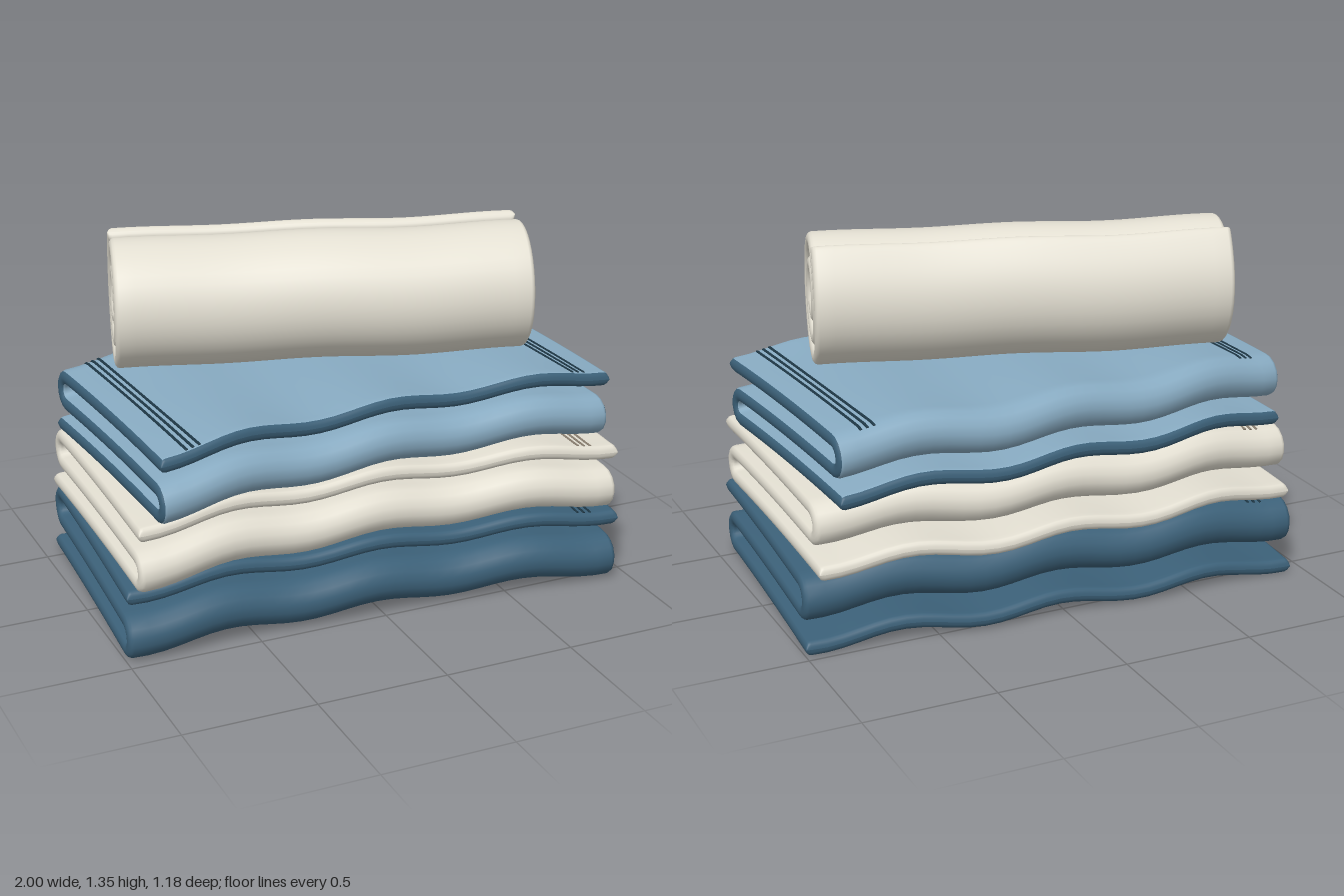
import * as THREE from 'three';

const material = (name, color) => {
  const m = new THREE.MeshStandardMaterial({ color });
  m.name = name;
  return m;
};

// Cloth ripples: waves strongest at the front and back edges, sagging sides,
// and a backward bow in the middle of the width.
const foldedWarp = (bow) => (p) => {
  const { x, z } = p;
  const wave = 0.006 + 0.01 * Math.min(1, 4 * z * z);
  p.y += wave * Math.cos(10.5 * x) - 0.014 * Math.pow(x / 0.97, 4);
  p.z += 0.008 * Math.cos(9 * x + 0.6) - bow * Math.cos(1.75 * x);
};
const rollWarp = (p) => {
  const x = p.x;
  p.y += 0.004 * Math.cos(9 * x);
  p.z += 0.007 * Math.sin(5.5 * x);
};

// Sweeps a padded sheet with rounded rims along a path in the (z, y) plane.
// Material 0 is the cloth, material 1 the narrow rim round all four sides.
function makeSheet(path, x0, x1, thick, columns, warp) {
  const h = thick / 2, round = h * 0.7;
  const a = x0 + round, b = x1 - round;

  // cross-section: upper face, right rim, lower face, left rim
  const loop = [];
  const face = (from, to, s) => {
    for (let i = 0; i <= columns; i++) {
      loop.push({ x: THREE.MathUtils.lerp(from, to, i / columns), o: s * h, rim: false });
    }
  };
  const rim = (cx, s) => {
    for (let k = 1; k < 6; k++) {
      const t = (k / 6) * Math.PI;
      loop.push({ x: cx + s * round * Math.sin(t), o: s * h * Math.cos(t), rim: true });
    }
  };
  face(a, b, 1);
  rim(b, 1);
  face(b, a, -1);
  rim(a, -1);

  // rings along the path, with rounded free ends
  const n = path.length;
  const rings = path.map((p, i) => {
    const q0 = path[Math.max(i - 1, 0)], q1 = path[Math.min(i + 1, n - 1)];
    return { p, t: q1.clone().sub(q0).normalize(), s: 1, rim: false };
  });
  const first = rings[0], last = rings[n - 1];
  const cap = (r, d, ang) => ({
    p: r.p.clone().addScaledVector(r.t, d * round * Math.sin(ang)),
    t: r.t, s: Math.cos(ang), rim: true
  });
  for (let k = 1; k <= 4; k++) {
    const ang = (k / 4) * Math.PI / 2;
    rings.unshift(cap(first, -1, ang));
    rings.push(cap(last, 1, ang));
  }

  const positions = [], cloth = [], border = [];
  const v = new THREE.Vector3();
  for (const r of rings) {
    for (const c of loop) {
      const o = c.o * r.s;
      v.set(c.x, r.p.y + r.t.x * o, r.p.x - r.t.y * o);
      warp(v);
      positions.push(v.x, v.y, v.z);
    }
  }
  const m = loop.length;
  for (let i = 0; i < rings.length - 1; i++) {
    for (let j = 0; j < m; j++) {
      const k = (j + 1) % m;
      const p = i * m + j, q = i * m + k, r = p + m, s = q + m;
      const isRim = (rings[i].rim && rings[i + 1].rim) || (loop[j].rim && loop[k].rim);
      (isRim ? border : cloth).push(p, r, q, q, r, s);
    }
  }
  const geo = new THREE.BufferGeometry();
  geo.setAttribute('position', new THREE.Float32BufferAttribute(positions, 3));
  geo.setIndex([...cloth, ...border]);
  geo.addGroup(0, cloth.length, 0);
  geo.addGroup(cloth.length, border.length, 1);
  geo.computeVertexNormals();
  return geo;
}

// A towel folded in three, with woven stripes near both ends.
function foldedTowel(o) {
  const T = 0.056;
  const [y0, y1, y2] = o.layers;
  const r0 = (y1 - y0) / 2, r1 = (y2 - y1) / 2;
  const path = new THREE.Path();
  path.moveTo(o.tail, y0);
  path.lineTo(o.front - r0, y0);
  path.absarc(o.front - r0, y0 + r0, r0, -Math.PI / 2, Math.PI / 2, false);
  path.lineTo(o.back + r1, y1);
  path.absarc(o.back + r1, y1 + r1, r1, -Math.PI / 2, Math.PI / 2, true);
  path.lineTo(o.front, y2);

  const warp = foldedWarp(o.bow);
  const towel = new THREE.Group();
  towel.name = o.name;
  const sheet = new THREE.Mesh(
    makeSheet(path.getSpacedPoints(140), -o.half, o.half, T, 32, warp), [o.cloth, o.rim]);
  sheet.name = 'foldedCloth';
  towel.add(sheet);

  // stripes lie on the top layer and dip a little over the back fold
  const top = y2 + T / 2 + 0.001, start = o.back + r1;
  const line = [new THREE.Vector2(start - r1 * 0.5, top - 0.004)];
  for (let i = 0; i <= 24; i++) {
    line.push(new THREE.Vector2(THREE.MathUtils.lerp(start, o.front, i / 24), top));
  }
  for (const side of [-1, 1]) {
    for (const x of [0.76, 0.785, 0.81]) {
      const c = side * x * o.half / 0.915;
      const stripe = new THREE.Mesh(
        makeSheet(line, c - 0.005, c + 0.005, 0.006, 1, warp), [o.stripe, o.stripe]);
      stripe.name = 'stripe';
      towel.add(stripe);
    }
  }
  towel.position.x = o.x;
  towel.rotation.y = o.turn;
  return towel;
}

// A towel rolled into a spiral with its outer edge lifting off.
function rolledTowel(cloth) {
  // (turns, radius) along the spiral, from the loose edge to the core
  const radii = new THREE.SplineCurve([
    [0, 0.256], [0.1, 0.232], [0.4, 0.223], [0.65, 0.222], [0.9, 0.212], [1, 0.194],
    [1.15, 0.17], [1.4, 0.15], [1.65, 0.143], [1.9, 0.122], [2.15, 0.085], [2.4, 0.062], [2.52, 0.058]
  ].map((p) => new THREE.Vector2(...p)));
  const path = radii.getPoints(130).map(({ x, y }) => {
    const a = 0.6 + x * Math.PI * 2;
    return new THREE.Vector2(-y * Math.sin(a), y * Math.cos(a));
  });
  const roll = new THREE.Mesh(
    makeSheet(path, -0.775, 0.775, 0.051, 26, rollWarp), [cloth, cloth]);
  roll.name = 'rolledTowel';
  roll.position.set(-0.033, 1.108, -0.033);
  roll.rotation.y = -0.275;
  return roll;
}

export function createModel() {
  const navy = material('deep blue cloth', 0x3c6179);
  const sky = material('light blue cloth', 0x88abc2);
  const cream = material('cream cloth', 0xe3dfd2);
  const ink = material('dark stripe', 0x1d3644);
  const taupe = material('taupe stripe', 0x8a7f70);

  const model = new THREE.Group();
  model.name = 'towelStack';
  model.add(
    foldedTowel({
      name: 'bottomTowel', layers: [0.05, 0.163, 0.282], front: 0.515, back: -0.5, tail: -0.51,
      half: 0.97, bow: 0.03, x: 0, turn: -0.06, cloth: navy, rim: navy, stripe: ink
    }),
    foldedTowel({
      name: 'middleTowel', layers: [0.339, 0.441, 0.55], front: 0.54, back: -0.46, tail: -0.495,
      half: 0.95, bow: 0.06, x: -0.01, turn: -0.02, cloth: cream, rim: cream, stripe: taupe
    }),
    foldedTowel({
      name: 'topTowel', layers: [0.607, 0.705, 0.814], front: 0.52, back: -0.46, tail: -0.47,
      half: 0.915, bow: 0.05, x: -0.01, turn: 0.05, cloth: sky, rim: navy, stripe: ink
    }),
    rolledTowel(cream)
  );
  return model;
}
